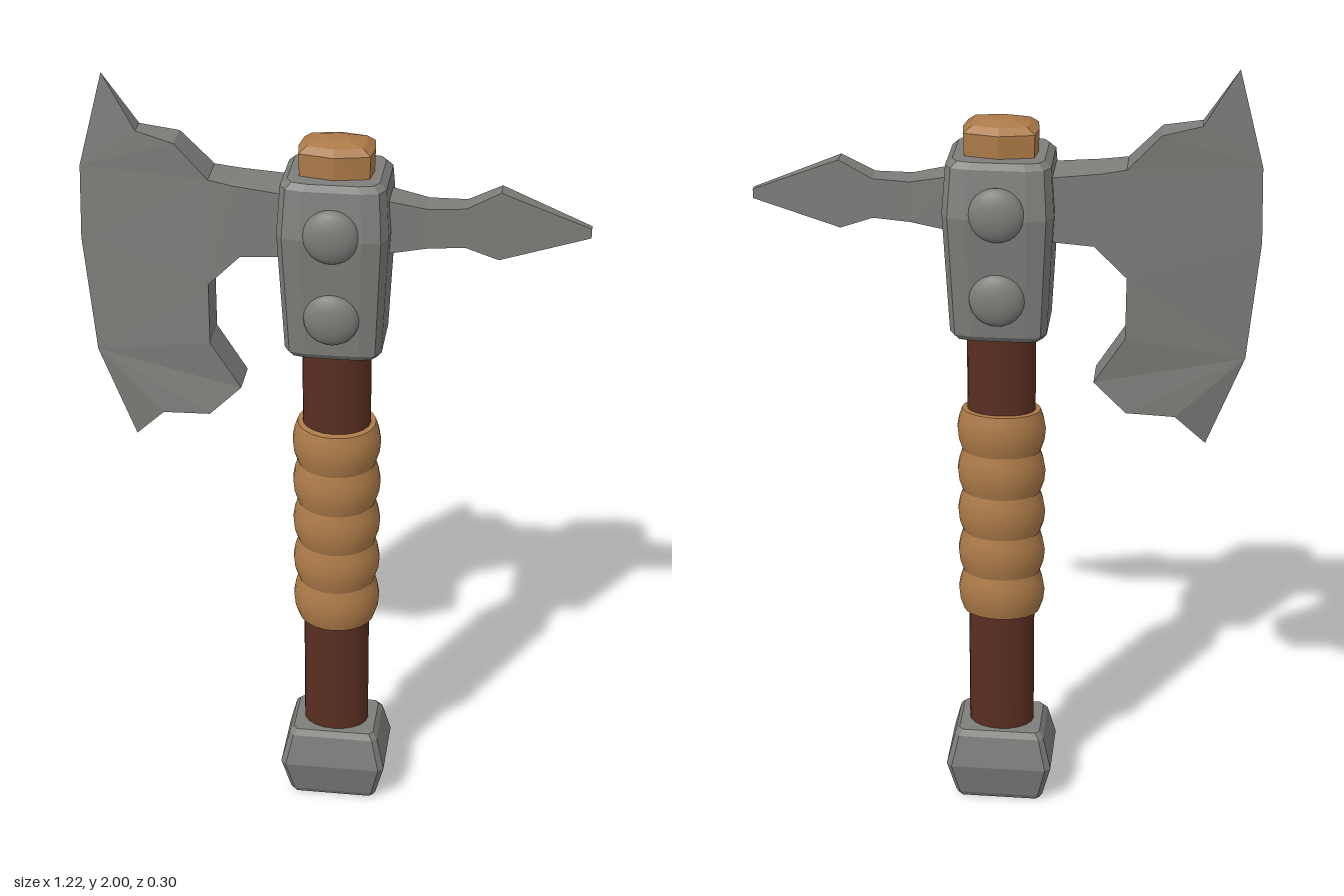
import * as THREE from 'three';
import { toCreasedNormals } from 'three/addons/utils/BufferGeometryUtils.js';

const CX = 0.01; // the shaft axis

function flatGeometry(positions) {
  const g = new THREE.BufferGeometry();
  g.setAttribute('position', new THREE.Float32BufferAttribute(positions, 3));
  g.computeVertexNormals();
  return g;
}

// Stacks a unit ring (given as one quadrant, +x to +z) at levels [y, halfX, halfZ], with end caps
function stackedBlock(quadrant, levels) {
  const ring = [];
  for (const [sx, sz] of [[1, 1], [-1, 1], [-1, -1], [1, -1]]) {
    const q = sx * sz > 0 ? quadrant : [...quadrant].reverse();
    q.forEach(([x, z]) => ring.push([x * sx, z * sz]));
  }
  const n = ring.length, out = [];
  const at = (l, i) => [CX + ring[i % n][0] * l[1], l[0], ring[i % n][1] * l[2]];
  const first = levels[0], last = levels[levels.length - 1];
  for (let i = 0; i < n; i++) {
    for (let k = 0; k < levels.length - 1; k++) {
      const a = at(levels[k], i), b = at(levels[k], i + 1);
      const c = at(levels[k + 1], i + 1), d = at(levels[k + 1], i);
      out.push(...a, ...d, ...c, ...a, ...c, ...b);
    }
    out.push(CX, first[0], 0, ...at(first, i), ...at(first, i + 1));
    out.push(CX, last[0], 0, ...at(last, i + 1), ...at(last, i));
  }
  return flatGeometry(out);
}

// Tapered plate: rows join two outline chains; each point is [x, y, half thickness]
function taperedPlate(rows) {
  const out = [];
  const tri = (a, b, c) => {
    const area = (b[0] - a[0]) * (c[1] - a[1]) - (b[1] - a[1]) * (c[0] - a[0]);
    if (Math.abs(area) < 1e-7) return;
    const [p, q, r] = area > 0 ? [a, b, c] : [a, c, b];
    for (const v of [p, q, r]) out.push(v[0], v[1], v[2]);
    for (const v of [p, r, q]) out.push(v[0], v[1], -v[2]);
  };
  for (let i = 0; i < rows.length - 1; i++) {
    const [a, b] = rows[i], [d, c] = rows[i + 1];
    tri(a, b, c);
    tri(a, c, d);
  }
  // Walls round the outline, counter-clockwise
  let loop = [...rows.map(r => r[0]), ...rows.map(r => r[1]).reverse()];
  const area = THREE.ShapeUtils.area(loop.map(p => new THREE.Vector2(p[0], p[1])));
  if (area < 0) loop = loop.reverse();
  loop.forEach((a, i) => {
    const b = loop[(i + 1) % loop.length];
    if ((a[0] === b[0] && a[1] === b[1]) || a[2] + b[2] === 0) return;
    const af = [a[0], a[1], a[2]], ab = [a[0], a[1], -a[2]];
    const bf = [b[0], b[1], b[2]], bb = [b[0], b[1], -b[2]];
    out.push(...af, ...ab, ...bb, ...af, ...bb, ...bf);
  });
  return flatGeometry(out);
}

export function createModel() {
  const steel = new THREE.MeshStandardMaterial({ color: 0x7d7d7a });
  steel.name = 'steel';
  const leather = new THREE.MeshStandardMaterial({ color: 0xac7a48 });
  leather.name = 'leather';
  const wood = new THREE.MeshStandardMaterial({ color: 0x5a2e20 });
  wood.name = 'darkWood';

  const model = new THREE.Group();
  model.name = 'battleAxe';
  const add = (name, geometry, material, parent = model) => {
    const mesh = new THREE.Mesh(geometry, material);
    mesh.name = name;
    parent.add(mesh);
    return mesh;
  };

  // Oval wooden shaft
  const shaft = new THREE.CylinderGeometry(0.085, 0.085, 1.6, 20);
  shaft.scale(1, 1, 0.74).translate(CX, 0.98, 0);
  add('shaft', shaft, wood);

  // Bulging leather wraps, tilted slightly as if wound round the shaft
  const y0 = 0.545, y1 = 1.12, bands = 5, step = (y1 - y0) / bands;
  const profile = [new THREE.Vector2(0.06, y0)];
  for (let i = 0; i < bands; i++) {
    for (const [f, r] of [[0.02, 0.098], [0.28, 0.108], [0.55, 0.111], [0.8, 0.106]]) {
      profile.push(new THREE.Vector2(r, y0 + (i + f) * step));
    }
  }
  profile.push(new THREE.Vector2(0.098, y1), new THREE.Vector2(0.06, y1));
  const grip = new THREE.LatheGeometry(profile, 24).scale(1, 1, 0.82);
  const gp = grip.attributes.position;
  for (let i = 0; i < gp.count; i++) {
    gp.setY(i, gp.getY(i) - 0.1 * gp.getZ(i));
  }
  grip.translate(CX, 0, 0);
  add('gripWraps', toCreasedNormals(grip, 0.45), leather);

  // Pommel
  add('pommel', stackedBlock([[1, 0.86], [0.9, 1]], [
    [0, 0.108, 0.075], [0.015, 0.115, 0.083], [0.11, 0.138, 0.105],
    [0.195, 0.117, 0.087], [0.21, 0.106, 0.076],
  ]), steel);

  // Head socket
  const head = new THREE.Group();
  head.name = 'head';
  model.add(head);
  add('socket', stackedBlock([[1, 0.7], [0.88, 0.92], [0.55, 1]], [
    [1.34, 0.106, 0.095], [1.355, 0.117, 0.106], [1.66, 0.132, 0.128],
    [1.775, 0.124, 0.108], [1.79, 0.108, 0.098],
  ]), steel, head);

  // Shaft end above the socket
  add('shaftCap', stackedBlock([[1, 0], [0.93, 0.75], [0, 1]], [
    [1.77, 0.088, 0.07], [1.845, 0.09, 0.071], [1.86, 0.07, 0.055], [1.87, 0.03, 0.024],
  ]), leather, head);

  // Domed rivets, front and back
  for (const side of [1, -1]) {
    for (const [y, z] of [[1.67, 0.12], [1.455, 0.112]]) {
      const rivet = new THREE.SphereGeometry(0.067, 20, 12).scale(1, 1, 0.45);
      add('rivet', rivet, steel, head).position.set(CX, y, side * z);
    }
  }

  // Blade neck
  add('bladeNeck', taperedPlate([
    [[-0.08, 1.743, 0.064], [-0.08, 1.59, 0.064]],
    [[-0.225, 1.757, 0.056], [-0.215, 1.577, 0.056]],
    [[-0.288, 1.767, 0.05], [-0.294, 1.497, 0.05]],
  ]), steel, head);

  // Blade: each row runs from the thick back to the sharp edge
  const edge = [[-0.54, 2.0, 0], [-0.603, 1.767, 0], [-0.61, 1.58, 0], [-0.585, 1.28, 0], [-0.497, 1.047, 0]];
  const back = (x, y) => [x, y, Math.min(0.05, 0.18 * (x + 0.6))];
  add('blade', taperedPlate([
    [back(-0.46, 1.87), edge[0]],
    [back(-0.46, 1.87), edge[1]],
    [back(-0.367, 1.85), edge[1]],
    [back(-0.288, 1.767), edge[1]],
    [back(-0.294, 1.497), edge[2]],
    [back(-0.294, 1.34), edge[3]],
    [back(-0.22, 1.222), edge[3]],
    [back(-0.3, 1.143), edge[3]],
    [back(-0.42, 1.13), edge[3]],
    [back(-0.42, 1.13), edge[4]],
  ]), steel, head);

  // Rear spike, stations of [x, top, bottom, half thickness]
  add('spike', taperedPlate([
    [0.1, 1.74, 1.595, 0.046], [0.225, 1.715, 1.615, 0.035], [0.315, 1.718, 1.62, 0.029],
    [0.395, 1.76, 1.59, 0.023], [0.607, 1.675, 1.652, 0.009],
  ].map(([x, t, b, h]) => [[x, t, h], [x, b, h]])), steel, head);

  return model;
}
